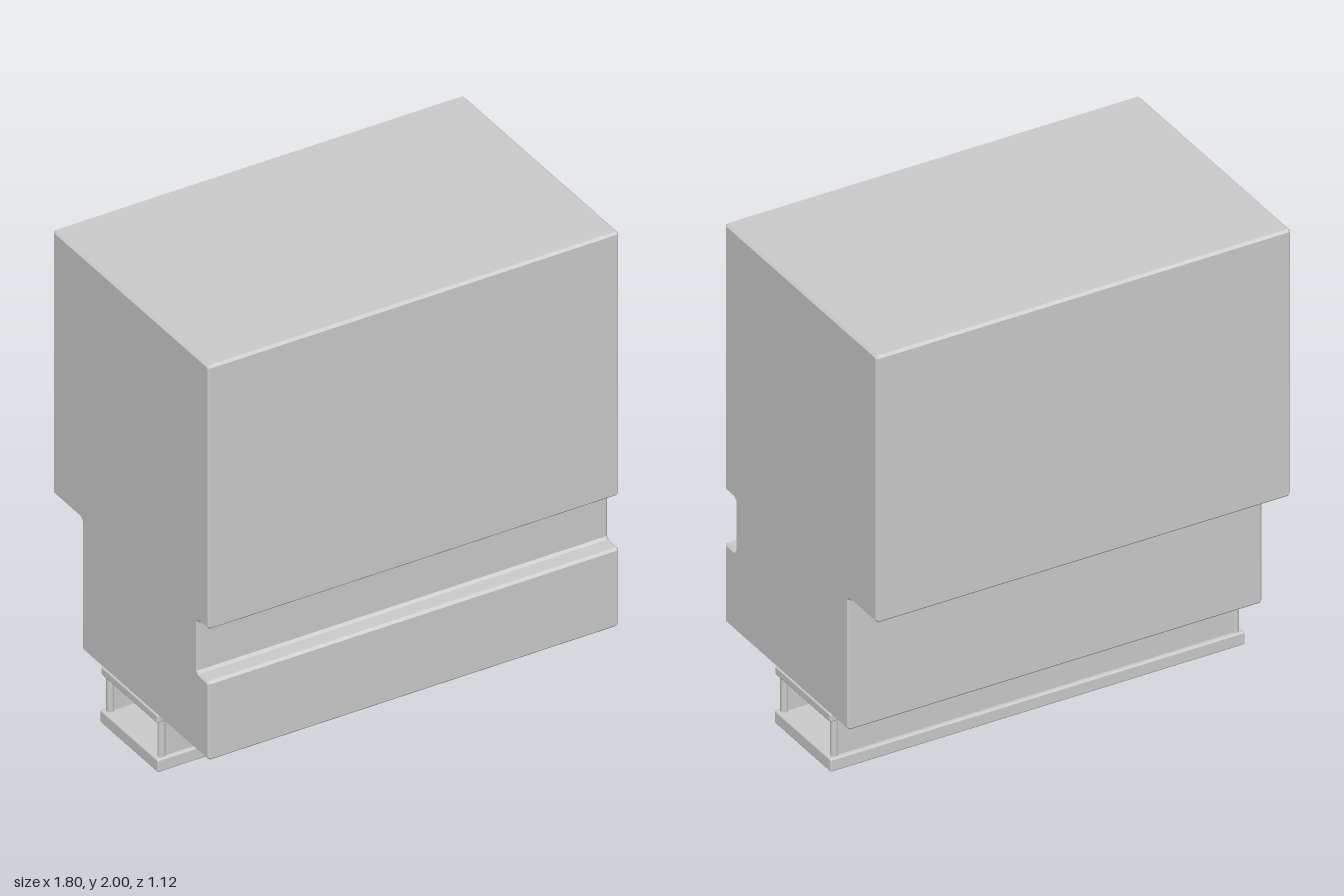
import * as THREE from 'three';
import { RoundedBoxGeometry } from 'three/addons/geometries/RoundedBoxGeometry.js';

const material = new THREE.MeshStandardMaterial({ color: 0xcccccc });
const WIDTH = 1.8, BEVEL = 0.01;

function add(group, name, geometry, x = 0, y = 0, z = 0) {
  const mesh = new THREE.Mesh(geometry, material);
  mesh.name = name;
  mesh.position.set(x, y, z);
  group.add(mesh);
}

// Box given by its y and z limits, centred on x, with softened edges
function slab(group, name, width, y0, y1, z0, z1, radius) {
  add(group, name, new RoundedBoxGeometry(width, y1 - y0, z1 - z0, 2, radius), 0, (y0 + y1) / 2, (z0 + z1) / 2);
}

// Closed outline with every corner cut by a small chamfer
function chamferedShape(points, cut) {
  const corners = points.map(([z, y]) => new THREE.Vector2(z, y));
  const outline = [];
  corners.forEach((p, i) => {
    const before = corners[(i + corners.length - 1) % corners.length];
    const after = corners[(i + 1) % corners.length];
    for (const q of [before, after]) {
      outline.push(p.clone().add(q.clone().sub(p).setLength(cut)));
    }
  });
  return new THREE.Shape(outline);
}

export function createModel() {
  const model = new THREE.Group();
  model.name = 'cabinet';

  // Body: side profile (z, y) with a front groove and a stepped back
  const profile = [
    [-0.35, 0.25], [0.56, 0.25], [0.56, 0.6], [0.48, 0.6], [0.48, 0.83],
    [0.56, 0.83], [0.56, 2], [-0.56, 2], [-0.56, 0.83], [-0.35, 0.83],
  ];
  const body = new THREE.ExtrudeGeometry(chamferedShape(profile, BEVEL), {
    depth: WIDTH - 2 * BEVEL, bevelEnabled: true, bevelSegments: 1,
    bevelSize: BEVEL, bevelThickness: BEVEL, bevelOffset: -BEVEL,
  });
  body.translate(0, 0, -(WIDTH / 2 - BEVEL));
  body.rotateY(-Math.PI / 2);
  add(model, 'body', body);

  // Stand: floor plate and top plate
  const stand = new THREE.Group();
  stand.name = 'stand';
  model.add(stand);
  slab(stand, 'floorPlate', WIDTH, 0, 0.057, -0.22, 0.195, 0.008);
  slab(stand, 'topPlate', WIDTH, 0.215, 0.253, -0.215, 0.19, 0.008);

  // Long thin panels with a post at each end; the short ends stay open
  for (const [side, z] of [['front', 0.172], ['back', -0.195]]) {
    add(stand, side + 'Panel', new THREE.BoxGeometry(1.72, 0.17, 0.014), 0, 0.136, z);
    for (const x of [-0.87, 0.87]) {
      add(stand, side + 'Post', new THREE.CylinderGeometry(0.015, 0.015, 0.17, 16), x, 0.136, z);
    }
  }
  return model;
}
